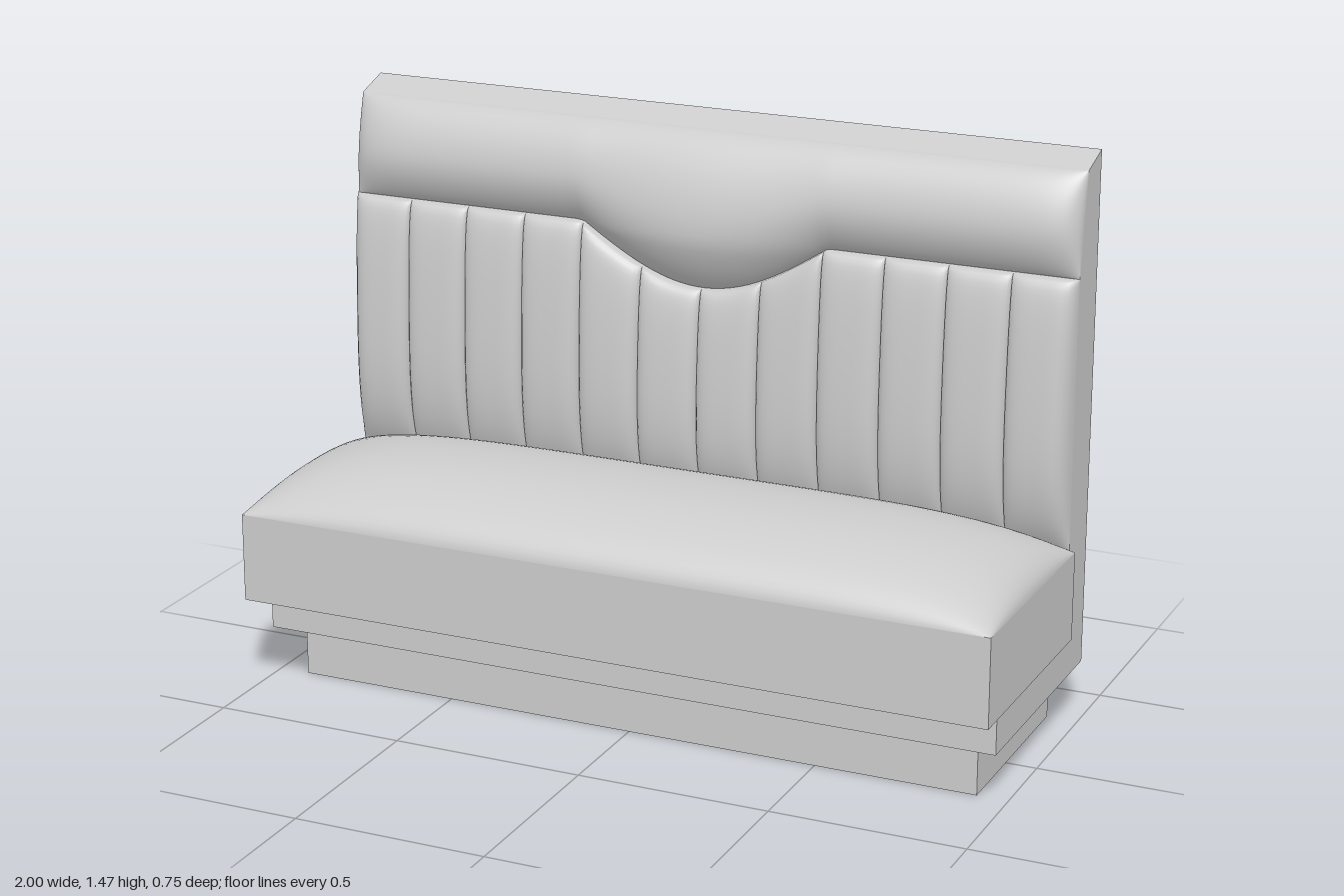
import * as THREE from 'three';

const material = new THREE.MeshStandardMaterial({ color: 0xcccccc });
const padMaterial = new THREE.MeshStandardMaterial({ color: 0xcccccc, side: THREE.DoubleSide });
const HALF = 0.985;   // half width of the frame
const WALL = -0.24;   // front of the backrest panel
const SEAT = 0.48;    // top of the seat box

function box(name, halfX, y0, y1, z0, z1) {
  const mesh = new THREE.Mesh(new THREE.BoxGeometry(halfX * 2, y1 - y0, z1 - z0), material);
  mesh.position.set(0, (y0 + y1) / 2, (z0 + z1) / 2);
  mesh.name = name;
  return mesh;
}

// Smooth upholstery patch: place(s, t) takes s and t from -1 to 1, packed closer at the rims
function pad(name, nu, nv, place) {
  const geo = new THREE.PlaneGeometry(2, 2, nu, nv);
  const pos = geo.attributes.position;
  const ease = (a) => Math.sin(a * Math.PI / 2);
  for (let i = 0; i < pos.count; i++) {
    pos.setXYZ(i, ...place(ease(pos.getX(i)), ease(pos.getY(i))));
  }
  geo.computeVertexNormals();
  const mesh = new THREE.Mesh(geo, padMaterial);
  mesh.name = name;
  return mesh;
}

const dome = (a, p, q) => Math.pow(Math.max(0, 1 - Math.pow(Math.abs(a), p)), q);

// Seam between the head roll and the channels, dipping in the middle
const seamDip = (x) => Math.abs(x) < 0.335 ? Math.cos((x / 0.335) * Math.PI / 2) : 0;
const seamY = (x) => 1.175 - 0.14 * seamDip(x);

export function createModel() {
  const group = new THREE.Group();

  group.add(box('plinth', 0.92, 0, 0.14, -0.315, 0.21));
  group.add(box('seatBox', 1, 0.25, SEAT, WALL, 0.375));

  // L-shaped frame, profile drawn as (-z, y) and extruded across the width
  const profile = new THREE.Shape([
    [-0.27, 0.14], [0.375, 0.14], [0.375, 1.465], [0.28, 1.435],
    [0.24, 1.17], [0.24, 0.25], [-0.27, 0.25],
  ].map(([x, y]) => new THREE.Vector2(x, y)));
  const frameGeo = new THREE.ExtrudeGeometry(profile, { depth: HALF * 2, bevelEnabled: false });
  frameGeo.translate(0, 0, -HALF).rotateY(Math.PI / 2);
  const frame = new THREE.Mesh(frameGeo, material);
  frame.name = 'frame';
  group.add(frame);

  // Domed seat cushion
  group.add(pad('seatCushion', 64, 32, (s, t) => [
    s, SEAT + 0.14 * dome(s, 5, 0.5) * dome(t, 2.2, 0.6), 0.0675 - t * 0.3075,
  ]));

  // Vertical backrest channels
  const channels = new THREE.Group();
  channels.name = 'backrestChannels';
  const count = 12;
  const width = (HALF * 2) / count;
  for (let i = 0; i < count; i++) {
    const centre = -HALF + width * (i + 0.5);
    channels.add(pad('channel', 14, 32, (s, t) => {
      const x = centre + s * width / 2;
      const v = (t + 1) / 2;
      const bulge = 0.083 * Math.pow(Math.max(0, 1 - v), 0.25) * (1 - Math.pow(1 - v, 6));
      const outer = (i === 0 && s < 0) || (i === count - 1 && s > 0);
      const groove = outer ? 0 : 0.55;
      const z = WALL + bulge * (groove + (1 - groove) * dome(s, 4, 0.5));
      return [x, SEAT + v * (seamY(x) - SEAT), z];
    }));
  }
  group.add(channels);

  // Head roll with a deeper lobe in the middle
  group.add(pad('headRoll', 120, 28, (s, t) => {
    const x = s * HALF;
    const down = (1 - t) / 2;
    const y = 1.435 + down * (seamY(x) - 1.435);
    const base = WALL - 0.04 * Math.max(0, (y - 1.17) / 0.265);
    const lobe = Math.exp(-Math.pow(x / 0.27, 2));
    const round = Math.pow(Math.max(0, Math.sin(Math.PI * down)), down < 0.5 ? 0.5 : 0.8);
    return [x, y, base + (0.066 + 0.024 * lobe) * round * dome(s, 18, 0.5)];
  }));

  return group;
}
